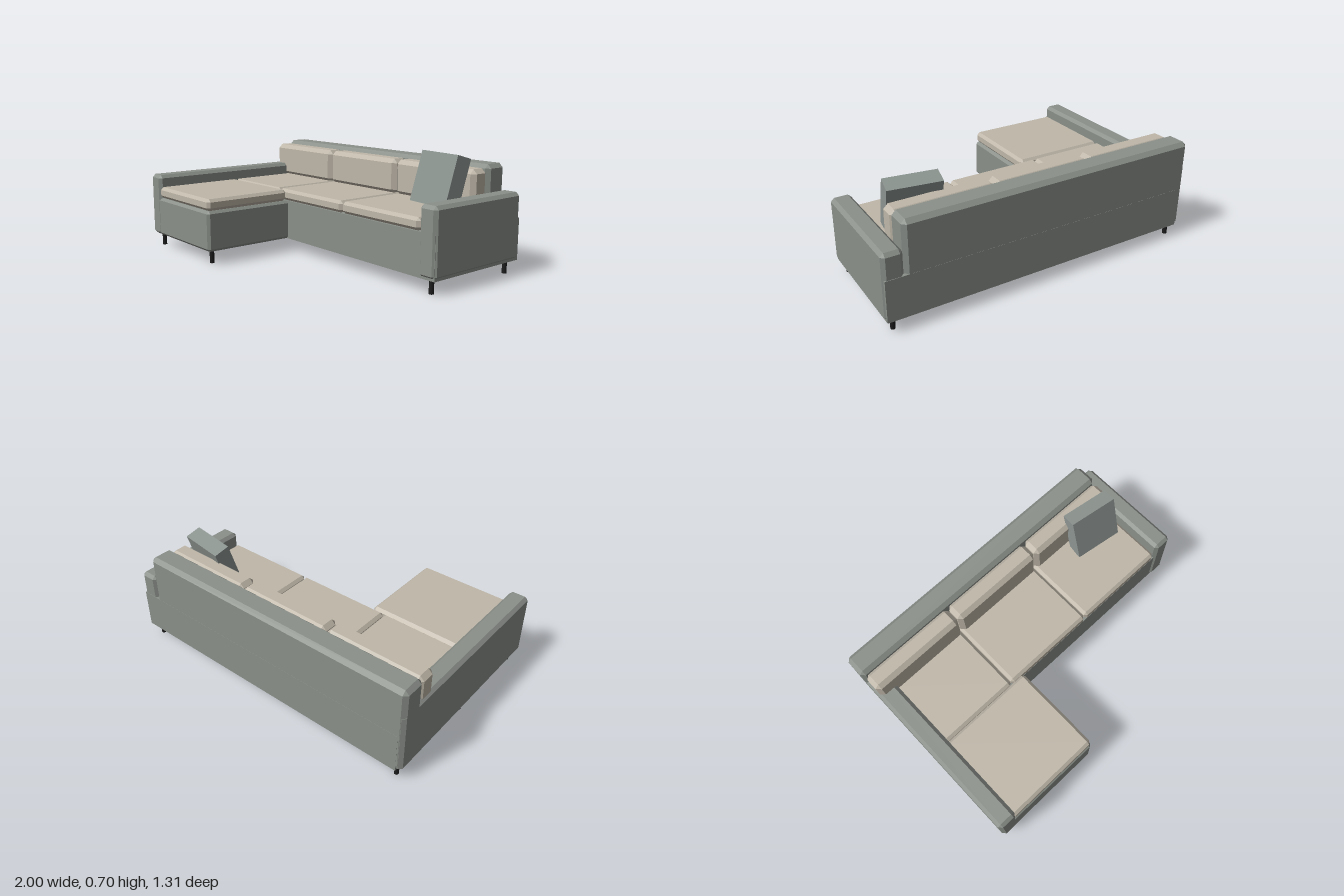
import * as THREE from 'three';
import { ConvexGeometry } from 'three/addons/geometries/ConvexGeometry.js';

const material = (name, color) => {
  const m = new THREE.MeshStandardMaterial({ color });
  m.name = name;
  return m;
};

// Box given by its [min, max] on each axis, with every edge cut flat by c
function chamferBox([x0, x1], [y0, y1], [z0, z1], c) {
  const half = [(x1 - x0) / 2, (y1 - y0) / 2, (z1 - z0) / 2];
  const points = [];
  for (const sx of [-1, 1]) for (const sy of [-1, 1]) for (const sz of [-1, 1]) {
    for (let full = 0; full < 3; full++) {
      const h = half.map((v, i) => (i === full ? v : v - c));
      points.push(new THREE.Vector3(sx * h[0], sy * h[1], sz * h[2]));
    }
  }
  return new ConvexGeometry(points).translate((x0 + x1) / 2, (y0 + y1) / 2, (z0 + z1) / 2);
}

export function createModel() {
  const group = new THREE.Group();
  group.name = 'cornerSofa';
  const grey = material('greyFabric', 0x8b908a);
  const beige = material('beigeFabric', 0xbfb7a9);
  const pillowGrey = material('pillowFabric', 0x8c9490);
  const black = material('blackLegs', 0x1c1c1c);

  const add = (name, geometry, mat) => {
    const mesh = new THREE.Mesh(geometry, mat);
    mesh.name = name;
    group.add(mesh);
    return mesh;
  };

  // Frame: base, chaise, back and arms
  const base = add('base', new THREE.BoxGeometry(1.96, 0.25, 0.71), grey);
  base.position.set(0.012, 0.205, -0.298);
  add('chaiseBase', chamferBox([-0.98, -0.275], [0.08, 0.33], [0.0, 0.65], 0.016), grey);
  add('backrest', chamferBox([-1, 0.88], [0.08, 0.635], [-0.652, -0.5], 0.024), grey);
  add('rightArm', chamferBox([-1, -0.88], [0.08, 0.48], [-0.65, 0.652], 0.02), grey);
  add('leftArm', chamferBox([0.88, 1], [0.085, 0.48], [-0.65, 0.067], 0.02), grey);

  // Three seat places, each with a seat and a back cushion
  for (let i = 0; i < 3; i++) {
    const x0 = -0.99 + i * 0.622;
    const span = [x0 + 0.002, x0 + 0.62];
    add('seatCushion', chamferBox(span, [0.33, 0.402], [-0.5, 0.06], 0.018), beige);
    add('backCushion', chamferBox(span, [0.395, 0.615], [-0.505, -0.38], 0.026), beige);
  }
  add('chaiseCushion', chamferBox([-0.9, -0.278], [0.33, 0.402], [0.062, 0.645], 0.018), beige);

  // Loose pillow leaning back
  const pillow = add('pillow', new THREE.BoxGeometry(0.31, 0.305, 0.1), pillowGrey);
  pillow.position.set(0.677, 0.542, -0.32);
  pillow.rotation.set(-0.285, -0.145, 0, 'YXZ');

  // Legs
  const legGeometry = new THREE.CylinderGeometry(0.014, 0.014, 0.09, 16);
  const legSpots = [[-0.945, -0.6], [0.945, -0.6], [-0.945, 0.025], [0.945, 0.025], [-0.945, 0.6], [-0.325, 0.6]];
  for (const [x, z] of legSpots) add('leg', legGeometry, black).position.set(x, 0.045, z);

  return group;
}
